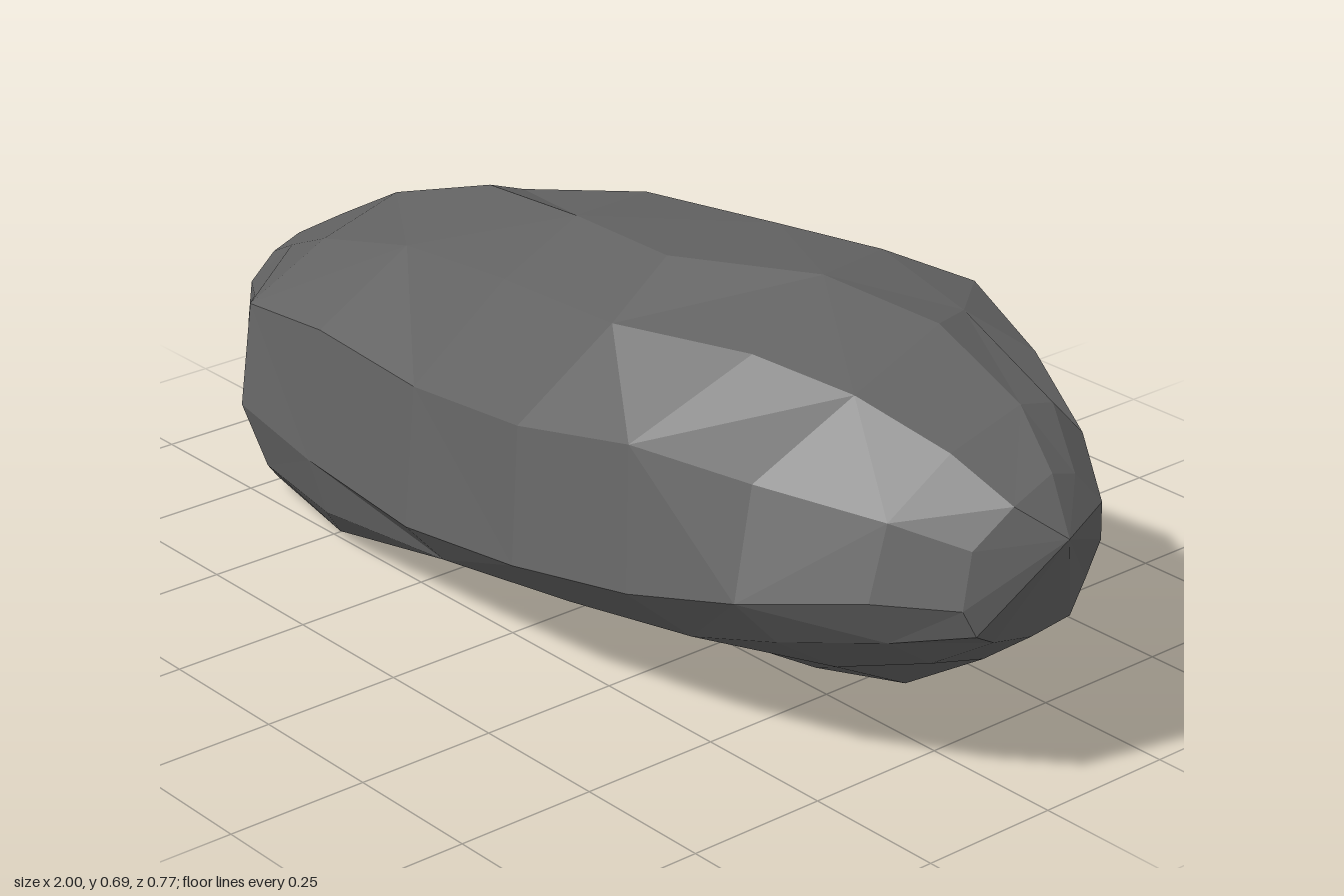
import * as THREE from 'three';

const SIDES = 12;

// Cross-sections along x: extreme points of each ring, then how tightly each
// quarter curves between them (below 1 is boxy, 1 is round, 2 is straight)
// x, topY, topZ, bottomY, bottomZ, frontZ, frontY, backZ, backY,
// topFront, topBack, bottomFront, bottomBack
const SECTIONS = [
  [-0.94, 0.375, -0.01, 0.165, 0.04, 0.11, 0.23, -0.05, 0.20, 1, 1.2, 1, 1],
  [-0.83, 0.44, -0.03, 0.06, 0.08, 0.19, 0.20, -0.20, 0.18, 0.9, 1.7, 0.8, 0.8],
  [-0.68, 0.522, -0.04, 0.01, 0.10, 0.31, 0.21, -0.245, 0.20, 0.9, 1.7, 0.8, 0.8],
  [-0.45, 0.595, -0.07, 0.005, 0.15, 0.335, 0.19, -0.32, 0.28, 0.9, 1.3, 0.9, 0.8],
  [-0.13, 0.65, 0.00, 0.03, 0.04, 0.37, 0.19, -0.38, 0.44, 1, 0.95, 1.3, 0.9],
  [0.17, 0.685, 0.06, 0.018, -0.02, 0.385, 0.235, -0.385, 0.50, 1.1, 0.75, 1.7, 1],
  [0.42, 0.70, -0.05, 0.005, -0.05, 0.357, 0.27, -0.37, 0.54, 1, 0.85, 1.8, 1.2],
  [0.63, 0.67, -0.10, 0.06, -0.05, 0.32, 0.32, -0.315, 0.48, 1, 0.9, 1.6, 1.2],
  [0.82, 0.60, -0.09, 0.185, -0.03, 0.22, 0.36, -0.235, 0.43, 1, 0.9, 1.2, 1],
  [0.93, 0.535, -0.05, 0.27, -0.02, 0.13, 0.36, -0.165, 0.39, 1, 1, 1, 0.9],
];
const LEFT_TIP = [-1, 0.24, 0.06];
const RIGHT_TIP = [1, 0.46, -0.02];

function seeded(seed) {
  return () => {
    seed = (seed * 16807) % 2147483647;
    return seed / 2147483647 - 0.5;
  };
}

// One lopsided ring, running top > front > bottom > back in four quarter arcs
function ringPoints(section, index, noise) {
  const [x, topY, topZ, bottomY, bottomZ, frontZ, frontY, backZ, backY, ...powers] = section;
  const amount = index > 1 && index < SECTIONS.length - 2 ? 1 : 0.2;
  const points = [];
  for (let j = 0; j < SIDES; j++) {
    const a = (j / SIDES) * Math.PI * 2;
    const c = Math.cos(a), s = Math.sin(a);
    const upper = c >= 0, front = s >= 0;
    const power = powers[(upper ? 0 : 2) + (front ? 0 : 1)];
    const up = Math.pow(Math.abs(c), power), out = Math.pow(Math.abs(s), power);
    const midY = front ? frontY : backY, midZ = upper ? topZ : bottomZ;
    let px = x;
    let py = midY + ((upper ? topY : bottomY) - midY) * up;
    let pz = midZ + ((front ? frontZ : backZ) - midZ) * out;
    // stagger the points between the extremes so the facets look chipped
    if (j % 3 !== 0) {
      px += ((j % 3 === 1 ? 0.04 : -0.04) + noise() * 0.04) * amount;
      py += noise() * 0.015 * amount;
      pz += noise() * 0.015 * amount;
    }
    points.push([px, py, pz]);
  }
  return points;
}

function buildStone() {
  const noise = seeded(71);
  const rings = SECTIONS.map((section, i) => ringPoints(section, i, noise));
  const positions = [];
  const triangle = (a, b, c) => positions.push(...a, ...b, ...c);

  // skin between neighbouring rings, with alternating diagonals
  for (let i = 0; i < rings.length - 1; i++) {
    for (let j = 0; j < SIDES; j++) {
      const k = (j + 1) % SIDES;
      const a = rings[i][j], b = rings[i][k], c = rings[i + 1][j], d = rings[i + 1][k];
      if ((i + j) % 2) {
        triangle(a, b, c);
        triangle(b, d, c);
      } else {
        triangle(a, b, d);
        triangle(a, d, c);
      }
    }
  }

  // pointed ends
  const first = rings[0], last = rings[rings.length - 1];
  for (let j = 0; j < SIDES; j++) {
    const k = (j + 1) % SIDES;
    triangle(LEFT_TIP, first[k], first[j]);
    triangle(RIGHT_TIP, last[j], last[k]);
  }

  const geometry = new THREE.BufferGeometry();
  geometry.setAttribute('position', new THREE.Float32BufferAttribute(positions, 3));
  geometry.computeVertexNormals();
  return geometry;
}

export function createModel() {
  const group = new THREE.Group();
  group.name = 'rock';
  const material = new THREE.MeshStandardMaterial({ color: 0x626262, flatShading: true });
  const stone = new THREE.Mesh(buildStone(), material);
  stone.name = 'stone';
  group.add(stone);
  return group;
}
